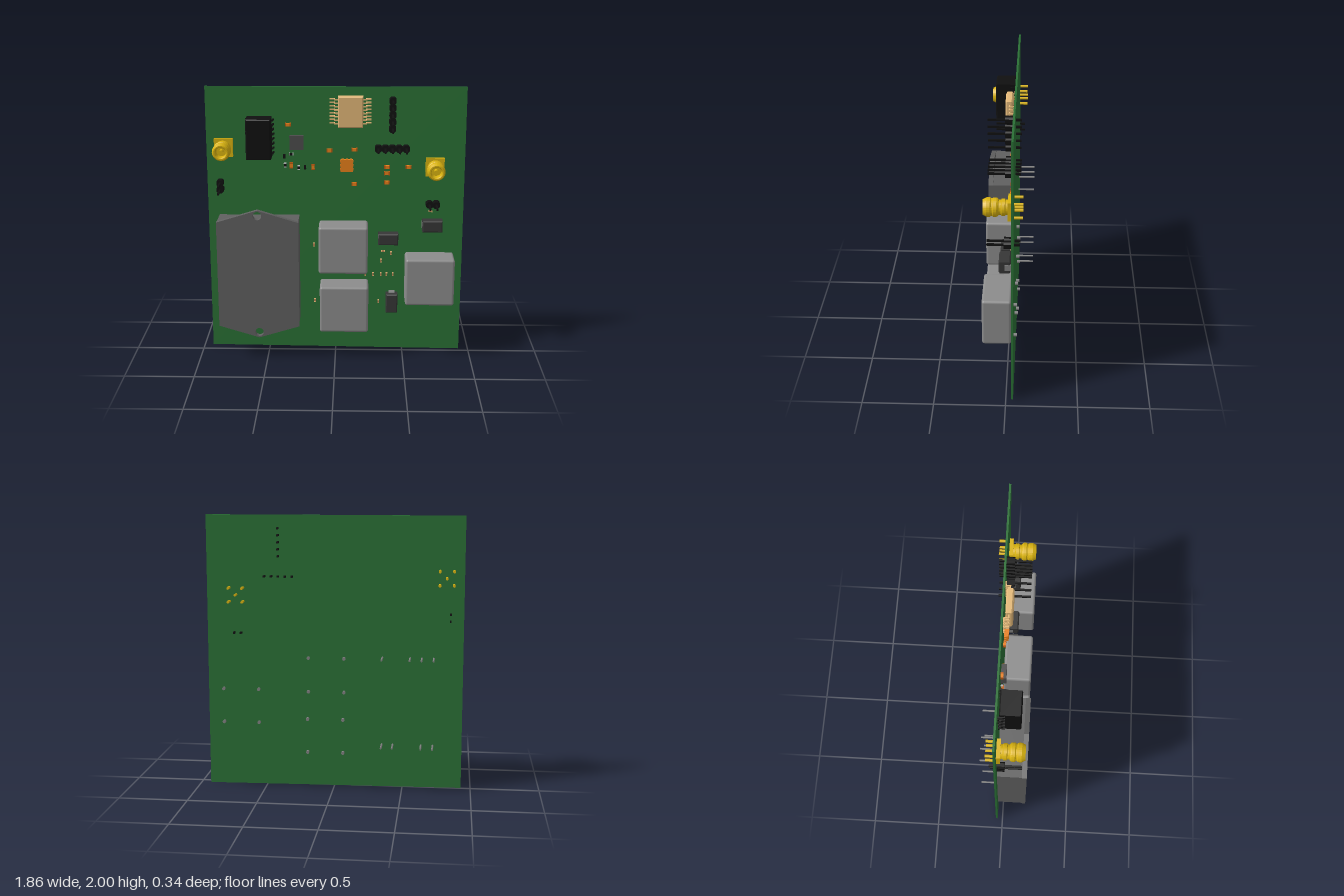
import * as THREE from 'three';
import { RoundedBoxGeometry } from 'three/addons/geometries/RoundedBoxGeometry.js';

const FRONT = -0.037, BACK = -0.051; // board faces
const mat = (color) => new THREE.MeshStandardMaterial({ color });
const M = {
  board: mat(0x2a7035), module: mat(0x606060), inductor: mat(0x8c8c8c), gold: mat(0xd9b310),
  black: mat(0x101010), dark: mat(0x363636), chip: mat(0x4c4c4c), metal: mat(0x808080),
  tan: mat(0xe3b878), orange: mat(0xe8801a), rust: mat(0xb85a10), white: mat(0xd8d8d8), copper: mat(0xb08050),
};

export function createModel() {
  const root = new THREE.Group();

  const group = (name, x = 0, y = 0) => {
    const g = new THREE.Group();
    g.name = name;
    g.position.set(x, y, 0);
    root.add(g);
    return g;
  };
  const add = (parent, name, geo, m) => {
    const mesh = new THREE.Mesh(geo, m);
    mesh.name = name;
    parent.add(mesh);
    return mesh;
  };
  // box centred on x, y and reaching from z0 to z1
  const box = (p, name, m, x, y, w, h, z0, z1) => {
    const b = add(p, name, new THREE.BoxGeometry(w, h, z1 - z0), m);
    b.position.set(x, y, (z0 + z1) / 2);
    return b;
  };
  // round pin along z
  const pin = (p, name, m, x, y, r, z0, z1) => {
    const c = add(p, name, new THREE.CylinderGeometry(r, r, z1 - z0, 12).rotateX(Math.PI / 2), m);
    c.position.set(x, y, (z0 + z1) / 2);
    return c;
  };
  const plate = (p, name, m, pts, z0, z1, holes = [], bevel = 0) => {
    const s = new THREE.Shape(pts.map(([x, y]) => new THREE.Vector2(x, y)));
    for (const [x, y, r] of holes) s.holes.push(new THREE.Path().absarc(x, y, r, 0, Math.PI * 2, true));
    const geo = new THREE.ExtrudeGeometry(s, {
      depth: z1 - z0 - 2 * bevel, bevelEnabled: bevel > 0, bevelSize: bevel, bevelOffset: -bevel,
      bevelThickness: bevel, bevelSegments: 1, curveSegments: 12,
    });
    const b = add(p, name, geo, m);
    b.position.z = z0 + bevel;
    return b;
  };
  const rect = (w, h) => [[-w / 2, -h / 2], [w / 2, -h / 2], [w / 2, h / 2], [-w / 2, h / 2]];

  // board, bottom edge slightly slanted
  plate(root, 'board', M.board, [[-0.93, 0.022], [0.93, 0.003], [0.93, 2], [-0.93, 2]], BACK, FRONT);

  // large power module with a hexagonal mounting plate
  const pm = group('powerModule', -0.557, 0.66);
  box(pm, 'moduleBody', M.module, 0, 0, 0.585, 0.79, FRONT, 0.15);
  plate(pm, 'mountingPlate', M.module,
    [[-0.295, -0.4], [0, -0.49], [0.295, -0.4], [0.295, 0.395], [0, 0.485], [-0.295, 0.395]],
    0.137, 0.172, [[0, 0.445, 0.031], [0, -0.447, 0.031]]);
  for (const x of [-0.35, -0.55, -0.635, -0.72]) pin(pm, 'modulePin', M.metal, x + 0.557, 0.32, 0.007, -0.17, FRONT);
  for (const x of [-0.35, -0.43, -0.635, -0.72]) pin(pm, 'modulePin', M.metal, x + 0.557, -0.325, 0.007, -0.17, FRONT);

  // power inductors, four short pins each
  for (const [x, y] of [[0.058, 0.842], [0.065, 0.387], [0.687, 0.602]]) {
    const g = group('inductor', x, y);
    const b = add(g, 'inductorBody', new RoundedBoxGeometry(0.355, 0.352, 0.2, 3, 0.018), M.inductor);
    b.position.z = FRONT + 0.102;
    for (const sx of [-0.13, 0.13]) for (const sy of [-0.125, 0.125])
      pin(g, 'inductorPin', M.metal, sx, sy, 0.012, -0.074, -0.02);
  }

  // coaxial connectors
  const coax = [
    [0, -0.03], [0.05, -0.03], [0.05, 0.005], [0.057, 0.01], [0.057, 0.032], [0.05, 0.036], [0.05, 0.05],
    [0.058, 0.055], [0.064, 0.065], [0.064, 0.085], [0.058, 0.092], [0.058, 0.1], [0.064, 0.107],
    [0.064, 0.13], [0.052, 0.155], [0.043, 0.155], [0.037, 0.145], [0.037, 0.09], [0.014, 0.09], [0.014, 0.13], [0, 0.13],
  ].map(([r, z]) => new THREE.Vector2(r, z));
  for (const [x, y] of [[-0.805, 1.56], [0.715, 1.424]]) {
    const g = group('coaxConnector', x, y);
    box(g, 'connectorFlange', M.gold, 0, 0, 0.134, 0.134, FRONT, -0.01);
    const barrel = add(g, 'connectorBarrel', new THREE.LatheGeometry(coax, 32).rotateX(Math.PI / 2), M.gold);
    barrel.geometry = barrel.geometry.toNonIndexed();
    barrel.geometry.computeVertexNormals();
    barrel.material = M.gold.clone();
    barrel.material.side = THREE.DoubleSide;
    pin(g, 'connectorPin', M.gold, 0, 0, 0.009, -0.11, FRONT);
    for (const sx of [-0.05, 0.05]) for (const sy of [-0.05, 0.05])
      pin(g, 'connectorPin', M.gold, sx, sy, 0.01, -0.11, FRONT);
  }

  // pin headers: centre, count, direction
  for (const [x, y, n, vertical] of [[0.405, 1.805, 5, 1], [0.405, 1.56, 5, 0], [-0.835, 1.277, 2, 1], [0.705, 1.147, 2, 0]]) {
    const g = group('pinHeader', x, y);
    for (let i = 0; i < n; i++) {
      const t = (i - (n - 1) / 2) * 0.05, px = vertical ? 0 : t, py = vertical ? t : 0;
      const c = 0.012, h = 0.0245;
      plate(g, 'headerBlock', M.black,
        [[-h, -h + c], [-h + c, -h], [h - c, -h], [h, -h + c], [h, h - c], [h - c, h], [-h + c, h], [-h, h - c]],
        FRONT, 0.018).position.set(px, py, FRONT);
      if (i) box(g, 'headerWeb', M.black, px - (vertical ? 0 : 0.025), py - (vertical ? 0.025 : 0), 0.03, 0.03, FRONT, 0.018);
      box(g, 'headerPin', M.black, px, py, 0.013, 0.013, -0.09, 0.134);
    }
  }

  // gull-wing lead: flat foot, riser and shoulder
  const lead = (p, m, side, xIn, xOut, y, w, zTop) => {
    const mid = (xIn + xOut) / 2, half = (xOut - xIn) / 2;
    box(p, 'leadFoot', m, side * (mid + half / 2), y, half, w, FRONT, FRONT + 0.008);
    box(p, 'leadRiser', m, side * mid, y, 0.008, w, FRONT, zTop);
    box(p, 'leadShoulder', m, side * (mid - half / 2), y, half, w, zTop - 0.008, zTop);
  };

  // tall black package
  const tall = group('tallPackage', -0.543, 1.645);
  plate(tall, 'packageBody', M.black, rect(0.176, 0.29), -0.03, 0.118, [], 0.008);
  for (const s of [-1, 1]) for (let i = 0; i < 8; i++) lead(tall, M.black, s, 0.086, 0.104, (i - 3.5) * 0.034, 0.014, 0.01);

  // tan package with leads on both sides
  const tan = group('tanPackage', 0.106, 1.827);
  plate(tan, 'packageBody', M.tan, rect(0.18, 0.225), -0.026, 0.025, [], 0.01);
  for (const s of [-1, 1]) for (let i = 0; i < 8; i++) lead(tan, M.tan, s, 0.08, 0.148, (i - 3.5) * 0.0245, 0.01, 0.002);

  // small square chips
  const grey = group('greyChip', -0.28, 1.6);
  box(grey, 'chipBody', M.chip, 0, 0, 0.1, 0.1, FRONT, 0.0);
  const orange = group('orangeChip', 0.081, 1.432);
  box(orange, 'chipBody', M.orange, 0, 0, 0.088, 0.088, FRONT, -0.005);
  for (const s of [-1, 1]) for (let i = -1; i <= 1; i++) {
    box(orange, 'chipPad', M.orange, s * 0.042, i * 0.03, 0.012, 0.016, FRONT, -0.018);
    box(orange, 'chipPad', M.orange, i * 0.03, s * 0.042, 0.016, 0.012, FRONT, -0.018);
  }

  // diodes with metal end caps
  for (const [x, y, turn] of [[0.385, 0.894, 0], [0.704, 0.994, 0], [0.416, 0.395, 1]]) {
    const g = group('diode', x, y);
    g.rotation.z = turn * Math.PI / 2;
    plate(g, 'diodeBody', M.dark, rect(0.145, 0.086), -0.028, 0.052, [], 0.008);
    for (const s of [-1, 1]) box(g, 'diodeTerminal', M.metal, s * 0.066, 0, 0.018, 0.045, FRONT, 0.012);
  }

  // small two-ended parts: [x, y, upright]
  const passives = (name, list, l, w, h, body, end) => {
    for (const [x, y, upright] of list) {
      const g = group(name, x, y);
      g.rotation.z = upright ? Math.PI / 2 : 0;
      box(g, 'partBody', body, 0, 0, l * 0.6, w * 0.94, FRONT, FRONT + h * 0.95);
      for (const s of [-1, 1]) box(g, 'partEnd', end, s * l * 0.4, 0, l * 0.2, w, FRONT, FRONT + h);
    }
  };
  passives('capacitor', [[-0.34, 1.727], [-0.045, 1.54], [0.135, 1.547], [0.135, 1.293], [0.37, 1.42], [0.37, 1.374],
    [0.37, 1.305], [0.525, 1.42], [-0.32, 1.43, 1], [-0.163, 1.418, 1]], 0.042, 0.025, 0.02, M.orange, M.rust);
  passives('smallResistor', [[-0.32, 1.511], [-0.365, 1.43, 1], [-0.265, 1.413, 1]], 0.033, 0.018, 0.014, M.black, M.white);
  passives('blackResistor', [[-0.37, 1.495, 1], [-0.22, 1.416, 1]], 0.03, 0.015, 0.014, M.black, M.black);
  passives('tinyCapacitor', [[0.69, 1.09], [0.35, 0.78], [-0.16, 0.828, 1], [-0.155, 0.39, 1], [0.32, 0.385, 1],
    [0.335, 0.706, 1], [0.408, 0.765, 1], [0.22, 0.6, 1], [0.277, 0.6, 1], [0.335, 0.6, 1], [0.377, 0.6, 1],
    [0.424, 0.6, 1]], 0.028, 0.013, 0.013, M.copper, M.tan);

  return root;
}
